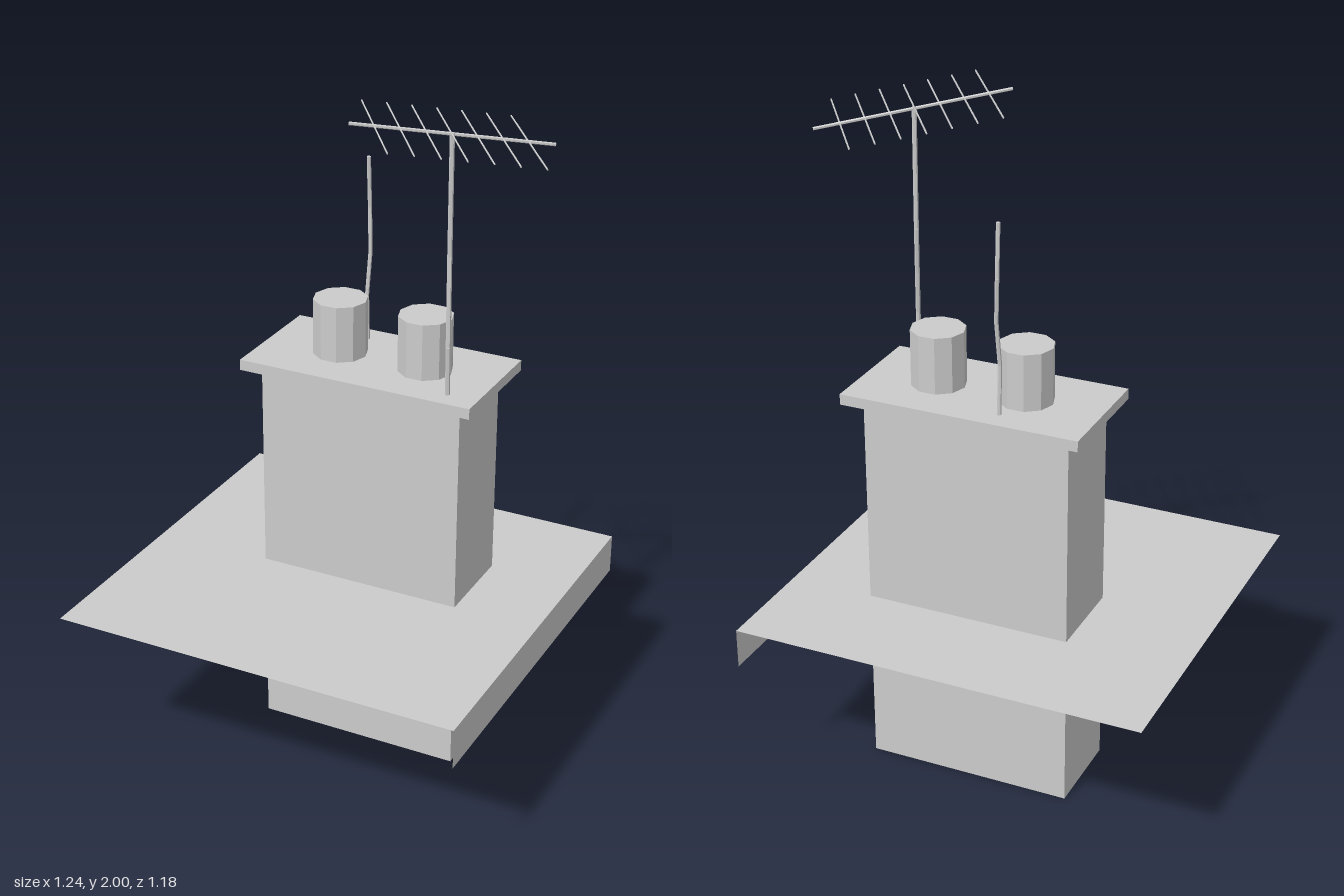
import * as THREE from 'three';

const solid = new THREE.MeshStandardMaterial({ color: 0xcccccc, flatShading: true });
const thin = new THREE.MeshStandardMaterial({ color: 0xcccccc, flatShading: true, side: THREE.DoubleSide });

function add(parent, name, geometry, material = solid) {
  const mesh = new THREE.Mesh(geometry, material);
  mesh.name = name;
  parent.add(mesh);
  return mesh;
}

// Straight rod between two points
function rod(parent, name, a, b, radius, sides = 6) {
  const mesh = add(parent, name, new THREE.CylinderGeometry(radius, radius, a.distanceTo(b), sides));
  mesh.position.copy(a).add(b).multiplyScalar(0.5);
  mesh.quaternion.setFromUnitVectors(new THREE.Vector3(0, 1, 0), b.clone().sub(a).normalize());
  return mesh;
}

// Slightly bent pole made of straight lengths
function pole(parent, name, points, radius) {
  const group = new THREE.Group();
  group.name = name;
  const p = points.map((c) => new THREE.Vector3(...c));
  for (let i = 1; i < p.length; i++) rod(group, 'poleSection', p[i - 1], p[i], radius);
  parent.add(group);
}

export function createModel() {
  const model = new THREE.Group();
  model.name = 'chimney';

  // Flat roof sheet with a fascia hanging from its +x edge
  const roof = add(model, 'roof', new THREE.PlaneGeometry(1.24, 1.176).rotateX(-Math.PI / 2), thin);
  roof.position.y = 0.54;
  const fascia = add(model, 'roofFascia', new THREE.PlaneGeometry(1.176, 0.12).rotateY(Math.PI / 2), thin);
  fascia.position.set(0.62, 0.48, 0);

  // Stack: four walls, open at the bottom
  const walls = new THREE.CylinderGeometry(Math.SQRT1_2, Math.SQRT1_2, 1, 4, 1, true);
  walls.rotateY(Math.PI / 4).scale(0.625, 1.175, 0.272);
  add(model, 'stack', walls, thin).position.set(0.05, 0.5875, -0.12);

  // Cap slab
  add(model, 'capSlab', new THREE.BoxGeometry(0.72, 0.032, 0.365)).position.set(0.05, 1.19, -0.123);

  // Chimney pots
  for (const x of [-0.079, 0.191]) {
    const pot = add(model, 'chimneyPot', new THREE.CylinderGeometry(0.08, 0.08, 0.17, 10));
    pot.rotation.y = Math.PI / 2;
    pot.position.set(x, 1.29, -0.123);
  }

  // Poles
  pole(model, 'aerialPole', [
    [0.317, 1.2, 0], [0.319, 1.35, 0.007], [0.308, 1.61, -0.014], [0.312, 1.96, -0.003],
  ], 0.007);
  pole(model, 'shortPole', [
    [-0.05, 1.2, -0.242], [-0.049, 1.35, -0.233], [-0.045, 1.48, -0.246],
    [-0.052, 1.61, -0.255], [-0.051, 1.765, -0.244],
  ], 0.006);

  // Aerial: sloping boom with seven level cross rods
  const aerial = new THREE.Group();
  aerial.name = 'aerial';
  model.add(aerial);
  const start = new THREE.Vector3(0.087, 1.997, 0.152);
  const end = new THREE.Vector3(0.54, 1.915, -0.162);
  rod(aerial, 'aerialBoom', start, end, 0.005);
  const half = new THREE.Vector3(0.128, 0, 0.183);
  for (let i = 0; i < 7; i++) {
    const c = start.clone().lerp(end, 0.12 + i * 0.1245);
    rod(aerial, 'aerialRod', c.clone().sub(half), c.clone().add(half), 0.0025, 4);
  }
  return model;
}
